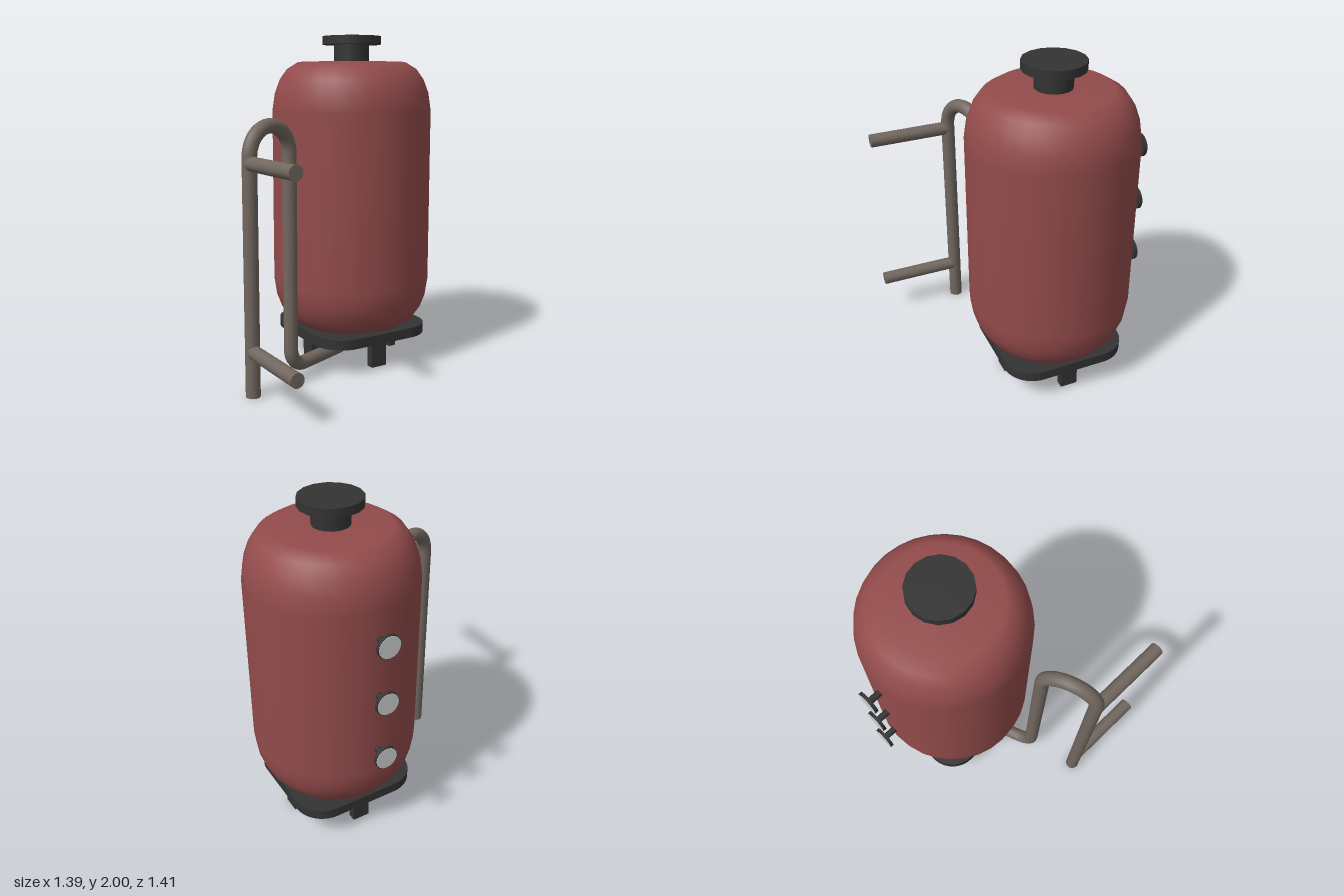
import * as THREE from 'three';

const mat = (name, color) => new THREE.MeshStandardMaterial({ name, color });

export function createModel() {
  const model = new THREE.Group();
  model.name = 'boilerTank';
  const red = mat('tankRed', 0x934b4b);
  const dark = mat('darkIron', 0x333333);
  const pipeGrey = mat('pipeGrey', 0x71675f);
  const pale = mat('paleGlass', 0xcfcfcf);

  const add = (parent, name, geometry, material, x = 0, y = 0, z = 0) => {
    const mesh = new THREE.Mesh(geometry, material);
    mesh.name = name;
    mesh.position.set(x, y, z);
    parent.add(mesh);
    return mesh;
  };

  // Vessel: everything here is centred on the tank axis
  const vessel = new THREE.Group();
  vessel.name = 'vessel';
  vessel.position.set(0.205, 0, -0.125);
  model.add(vessel);

  // Tank body, with the same rounded shoulder at both ends
  const shoulder = [[0, 0.81], [0.33, 0.81], [0.398, 0.768], [0.442, 0.705], [0.472, 0.625], [0.488, 0.52]];
  const profile = [
    ...shoulder.map(([r, h]) => new THREE.Vector2(r, -h)),
    ...shoulder.slice().reverse().map(([r, h]) => new THREE.Vector2(r, h)),
  ];
  add(vessel, 'tankBody', new THREE.LatheGeometry(profile, 32), red, 0, 1.035, 0);

  // Neck and lid
  add(vessel, 'neck', new THREE.CylinderGeometry(0.108, 0.108, 0.12, 16), dark, 0, 1.895, 0);
  add(vessel, 'lid', new THREE.CylinderGeometry(0.18, 0.18, 0.05, 16), dark, 0, 1.975, 0);

  // Rounded square base plate
  const h = 0.38, r = 0.18, c = h - r;
  const outline = new THREE.Shape();
  outline.absarc(c, c, r, 0, Math.PI / 2);
  outline.absarc(-c, c, r, Math.PI / 2, Math.PI);
  outline.absarc(-c, -c, r, Math.PI, Math.PI * 1.5);
  outline.absarc(c, -c, r, Math.PI * 1.5, Math.PI * 2);
  const plate = new THREE.ExtrudeGeometry(outline, { depth: 0.06, bevelEnabled: false, curveSegments: 6 });
  plate.rotateX(-Math.PI / 2);
  add(vessel, 'basePlate', plate, dark, 0, 0.166, 0);

  // Four legs, one under the middle of each plate side
  for (let i = 0; i < 4; i++) {
    const a = i * Math.PI / 2;
    const leg = add(vessel, 'leg', new THREE.BoxGeometry(0.105, 0.17, 0.05), dark,
      Math.sin(a) * 0.294, 0.085, Math.cos(a) * 0.294);
    leg.rotation.y = a;
  }

  // Three gauges on the back
  for (const y of [0.67, 1.04, 1.395]) {
    const gauge = new THREE.Group();
    gauge.name = 'gauge';
    gauge.position.set(0, y, -0.58);
    gauge.rotation.x = -Math.PI / 2; // local +y points backwards
    add(gauge, 'gaugeStem', new THREE.CylinderGeometry(0.02, 0.02, 0.13, 10), dark, 0, -0.07, 0);
    add(gauge, 'gaugeDial', new THREE.CylinderGeometry(0.07, 0.07, 0.02, 16), dark, 0, -0.012, 0);
    add(gauge, 'gaugeFace', new THREE.CylinderGeometry(0.066, 0.066, 0.003, 16), pale, 0, -0.001, 0);
    vessel.add(gauge);
  }

  // Pipework: local x runs from the standpipe towards the tank
  const piping = new THREE.Group();
  piping.name = 'piping';
  piping.position.set(-0.655, 0, 0.2);
  piping.rotation.y = 0.36;
  model.add(piping);

  const path = new THREE.CurvePath();
  const P = (x, y) => new THREE.Vector3(x, y, 0);
  const line = (a, b) => path.add(new THREE.LineCurve3(a, b));
  // Quarter bend from a to b whose tangents meet at corner k
  const bend = (a, k, b) => path.add(new THREE.CubicBezierCurve3(
    a, a.clone().lerp(k, 0.5523), b.clone().lerp(k, 0.5523), b));
  const R = 0.163, D = 0.326, E = 0.887, top = 1.33, low = 0.07, q = 0.11;
  line(P(0, 0), P(0, top));
  bend(P(0, top), P(0, top + R), P(R, top + R));
  bend(P(R, top + R), P(D, top + R), P(D, top));
  line(P(D, top), P(D, low + q));
  bend(P(D, low + q), P(D, low), P(D + q, low));
  line(P(D + q, low), P(E - q, low));
  bend(P(E - q, low), P(E, low), P(E, low + q));
  line(P(E, low + q), P(E, 0.2));
  add(piping, 'overflowPipe', new THREE.TubeGeometry(path, 150, 0.042, 14), pipeGrey);
  const cap = add(piping, 'pipeEnd', new THREE.CircleGeometry(0.042, 14), pipeGrey, 0, 0.001, 0);
  cap.rotation.x = Math.PI / 2;

  // Two horizontal branches running forwards from the standpipe
  for (const y of [0.26, 1.3]) {
    const branch = add(model, 'branchPipe', new THREE.CylinderGeometry(0.041, 0.041, 0.505, 14), pipeGrey, -0.655, y, 0.4525);
    branch.rotation.x = Math.PI / 2;
  }

  return model;
}
